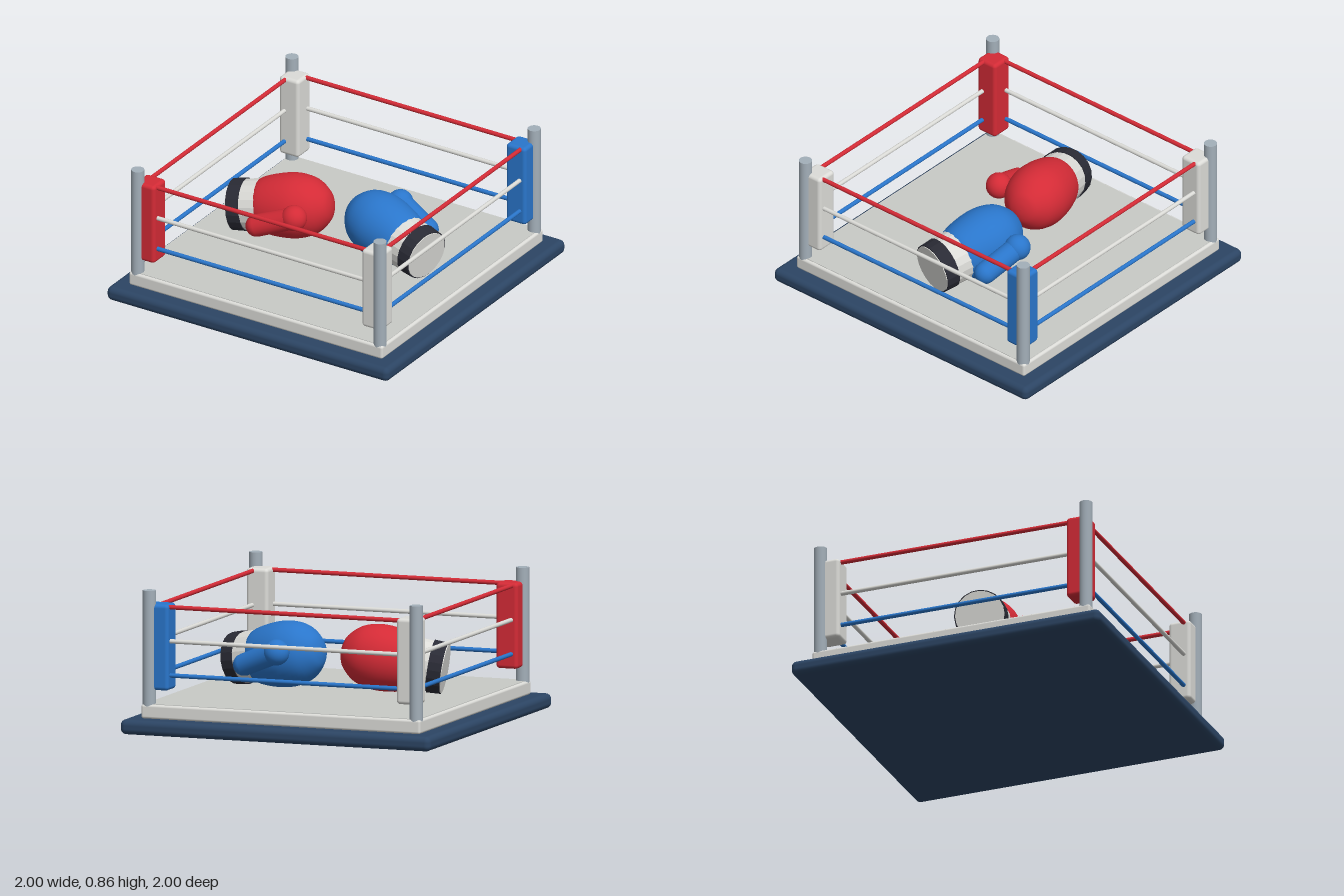
import * as THREE from 'three';
import { RoundedBoxGeometry } from 'three/addons/geometries/RoundedBoxGeometry.js';

const mat = (name, color) => new THREE.MeshStandardMaterial({ name, color });

const M = {
  navy: mat('navy', 0x2c4564),
  canvas: mat('canvasGrey', 0xc8cac6),
  white: mat('white', 0xdcdcd8),
  steel: mat('steel', 0xa3afb9),
  red: mat('red', 0xd42b36),
  blue: mat('blue', 0x2a76cb),
  black: mat('black', 0x2a2b35),
};

function add(parent, name, geometry, material, x = 0, y = 0, z = 0) {
  const mesh = new THREE.Mesh(geometry, material);
  mesh.name = name;
  mesh.position.set(x, y, z);
  parent.add(mesh);
  return mesh;
}

// Faceted frustum lying along x, from x0 (radius r0) to x1 (radius r1)
function band(x0, r0, x1, r1) {
  const g = new THREE.CylinderGeometry(r1, r0, x1 - x0, 20).toNonIndexed();
  g.computeVertexNormals();
  return g.rotateZ(-Math.PI / 2).translate((x0 + x1) / 2, 0, 0);
}

// Glove pointing along +x with its thumb on +z
function makeGlove(name, material, x, z, yaw) {
  const glove = new THREE.Group();
  glove.name = name;
  glove.position.set(x, 0.4, z);
  glove.rotation.set(0, yaw, 0.15, 'YXZ');

  // Padded fist
  const profile = new THREE.SplineCurve([
    [0, -0.235], [0.1, -0.232], [0.155, -0.215], [0.183, -0.14], [0.199, -0.03], [0.195, 0.06],
    [0.165, 0.15], [0.1, 0.221], [0.045, 0.245], [0, 0.25],
  ].map(([r, h]) => new THREE.Vector2(r, h))).getPoints(36);
  profile.forEach((p) => { p.x = Math.max(p.x, 0); });
  profile[0].x = profile[profile.length - 1].x = 0;
  const fist = new THREE.LatheGeometry(profile, 40).rotateZ(-Math.PI / 2).scale(1, 1, 0.97);
  add(glove, 'fist', fist, material);

  // Thumb: capsule with a fuller tip
  const a = new THREE.Vector3(-0.162, -0.027, 0.228);
  const b = new THREE.Vector3(0.086, 0.03, 0.232);
  const dir = b.clone().sub(a);
  const thumb = add(glove, 'thumb', new THREE.CapsuleGeometry(0.068, dir.length(), 8, 20), material);
  thumb.position.copy(a).lerp(b, 0.5);
  thumb.quaternion.setFromUnitVectors(new THREE.Vector3(0, 1, 0), dir.normalize());
  add(glove, 'thumbTip', new THREE.SphereGeometry(0.079, 24, 16), material, b.x, b.y, b.z);

  // Cuff with dark wrist band
  add(glove, 'cuff', band(-0.388, 0.15, -0.15, 0.164), M.white);
  add(glove, 'wristBand', band(-0.383, 0.157, -0.3, 0.162), M.black);
  return glove;
}

export function createModel() {
  const model = new THREE.Group();
  model.name = 'boxingRing';

  // Platform
  add(model, 'base', new RoundedBoxGeometry(2, 0.09, 2, 4, 0.035), M.navy, 0, 0.045, 0);
  add(model, 'apron', new RoundedBoxGeometry(1.8, 0.086, 1.8, 3, 0.015), M.white, 0, 0.132, 0);
  add(model, 'canvas', new THREE.BoxGeometry(1.765, 0.006, 1.765), M.canvas, 0, 0.175, 0);

  // Corner posts and pads
  const padGeo = new RoundedBoxGeometry(0.14, 0.52, 0.14, 3, 0.022);
  const postGeo = new THREE.CylinderGeometry(0.04, 0.04, 0.7, 20);
  for (const sx of [-1, 1]) {
    for (const sz of [-1, 1]) {
      add(model, 'cornerPost', postGeo, M.steel, sx * 0.86, 0.513, sz * 0.86);
      const padMat = sx === sz ? M.white : sx < 0 ? M.red : M.blue;
      add(model, 'cornerPad', padGeo, padMat, sx * 0.805, 0.52, sz * 0.805);
    }
  }

  // Three ropes on each side
  const ropeX = new THREE.CylinderGeometry(0.0135, 0.0135, 1.52, 12).rotateZ(Math.PI / 2);
  const ropeZ = ropeX.clone().rotateY(Math.PI / 2);
  for (const [y, m] of [[0.35, M.blue], [0.557, M.white], [0.763, M.red]]) {
    for (const s of [-1, 1]) {
      add(model, 'rope', ropeX, m, 0, y, s * 0.835);
      add(model, 'rope', ropeZ, m, s * 0.835, y, 0);
    }
  }

  // Gloves facing each other
  model.add(makeGlove('redGlove', M.red, -0.295, 0.005, 0.23));
  model.add(makeGlove('blueGlove', M.blue, 0.29, -0.058, Math.PI - 0.23));
  return model;
}
